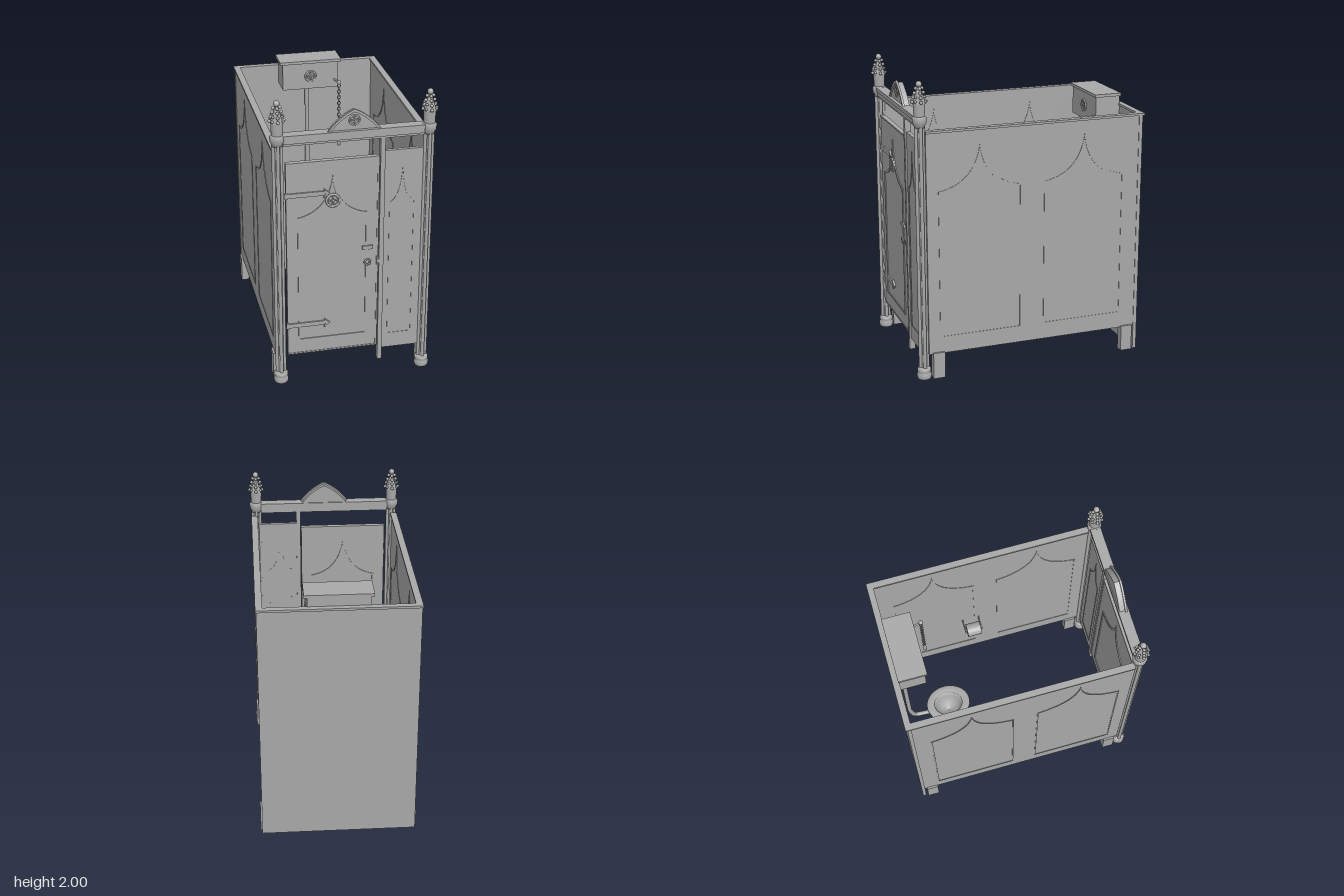
import * as THREE from 'three';

export function createModel() {
  const root = new THREE.Group();
  const stone = new THREE.MeshStandardMaterial({ color: 0xa8a8a8 });
  stone.name = 'plain grey';

  const add = (name, geo, parent = root, x = 0, y = 0, z = 0) => {
    const m = new THREE.Mesh(geo, stone);
    m.name = name;
    m.position.set(x, y, z);
    parent.add(m);
    return m;
  };
  const group = (name, x = 0, y = 0, z = 0, parent = root) => {
    const g = new THREE.Group();
    g.name = name;
    g.position.set(x, y, z);
    parent.add(g);
    return g;
  };
  // box given by its limits on each axis
  const box = (name, x0, x1, y0, y1, z0, z1, parent = root) =>
    add(name, new THREE.BoxGeometry(x1 - x0, y1 - y0, z1 - z0), parent,
      (x0 + x1) / 2, (y0 + y1) / 2, (z0 + z1) / 2);
  const lathe = (pts, seg = 32) =>
    new THREE.LatheGeometry(pts.map(p => new THREE.Vector2(p[0], p[1])), seg);
  const extrude = (shape, depth) => {
    const g = new THREE.ExtrudeGeometry(shape, { depth, bevelEnabled: false, curveSegments: 14 });
    g.translate(0, 0, -depth / 2);
    return g;
  };

  // pointed gothic outline: straight sides, concave shoulders rising to a tip
  const ogee = (path, w, y0, ys, yt) => {
    const cy = ys + (yt - ys) * 0.12, cx = w * 0.12;
    path.moveTo(-w, y0);
    path.lineTo(w, y0);
    path.lineTo(w, ys);
    path.quadraticCurveTo(cx, cy, 0, yt);
    path.quadraticCurveTo(-cx, cy, -w, ys);
    path.lineTo(-w, y0);
    return path;
  };
  const ogeeTrim = (w, y0, ys, yt, t, depth) => {
    const s = ogee(new THREE.Shape(), w, y0, ys, yt);
    s.holes.push(ogee(new THREE.Path(), w - t, y0 + t, ys - t, yt - 3.5 * t));
    return extrude(s, depth);
  };

  // four-lobed rosette facing +z
  const rosette = (name, r, x, y, z, parent = root) => {
    const g = group(name, x, y, z, parent);
    add('rosetteRing', new THREE.TorusGeometry(r * 0.87, r * 0.16, 8, 28), g);
    for (let i = 0; i < 4; i++) {
      const a = Math.PI / 4 + i * Math.PI / 2;
      add('rosetteLobe', new THREE.TorusGeometry(r * 0.32, r * 0.11, 6, 16), g,
        Math.cos(a) * r * 0.45, Math.sin(a) * r * 0.45, 0);
    }
    add('rosetteCentre', new THREE.SphereGeometry(r * 0.18, 10, 8), g);
  };

  // back and side walls with top rails and feet
  box('backWall', -0.515, 0.515, 0, 1.67, -0.785, -0.76);
  box('backRail', -0.52, 0.52, 1.665, 1.68, -0.797, -0.755);
  for (const s of [1, -1]) {
    const wall = group(s > 0 ? 'leftWall' : 'rightWall', s * 0.498);
    box('sidePanel', -0.013, 0.013, 0.17, 1.67, -0.76, 0.715, wall);
    box('sideRail', -0.022, 0.022, 1.665, 1.68, -0.757, 0.715, wall);
    for (const zc of [0.355, -0.37]) {
      const t = add('sidePanelTrim', ogeeTrim(0.282, 0.28, 1.28, 1.58, 0.008, 0.032), wall, 0, 0, zc);
      t.rotation.y = Math.PI / 2;
    }
    box('frontFoot', -0.027, 0.027, 0, 0.18, 0.61, 0.69, wall);
    box('backFoot', -0.027, 0.027, 0, 0.18, -0.745, -0.665, wall);
  }

  // front corner posts: clustered shafts, base, capital and pinnacle
  for (const s of [1, -1]) {
    const post = group(s > 0 ? 'leftPost' : 'rightPost', s * 0.483, 0, 0.744);
    add('postCore', new THREE.CylinderGeometry(0.019, 0.019, 1.68, 16), post, 0, 0.88, 0);
    for (let i = 0; i < 4; i++) {
      const a = i * Math.PI / 2;
      add('postShaft', new THREE.CylinderGeometry(0.012, 0.012, 1.68, 12), post,
        Math.cos(a) * 0.024, 0.88, Math.sin(a) * 0.024);
    }
    add('postBase', lathe([[0, 0], [0.044, 0], [0.048, 0.012], [0.048, 0.035], [0.04, 0.045],
      [0.046, 0.053], [0.046, 0.066], [0.036, 0.08], [0, 0.08]]), post);
    add('postCapital', lathe([[0, 1.69], [0.034, 1.705], [0.036, 1.72], [0.046, 1.735],
      [0.047, 1.765], [0.038, 1.777], [0, 1.78]]), post);
    add('pinnacleDrum', new THREE.CylinderGeometry(0.039, 0.036, 0.085, 24), post, 0, 1.817, 0);
    const spire = add('pinnacleSpire', new THREE.CylinderGeometry(0.012, 0.05, 0.1, 4), post, 0, 1.908, 0);
    spire.rotation.y = Math.PI / 4;
    for (let i = 0; i < 4; i++) {
      const a = i * Math.PI / 2;
      for (let k = 0; k < 4; k++) {
        const r = 0.045 - k * 0.008, y = 1.87 + k * 0.028;
        add('crocket', new THREE.SphereGeometry(0.011, 10, 8), post, Math.cos(a) * r, y, Math.sin(a) * r);
        if (k < 2) add('cornerCrocket', new THREE.SphereGeometry(0.009, 10, 8), post,
          Math.cos(a + Math.PI / 4) * (r + 0.003), y + 0.006, Math.sin(a + Math.PI / 4) * (r + 0.003));
      }
    }
    add('finialNeck', new THREE.CylinderGeometry(0.008, 0.012, 0.03, 12), post, 0, 1.962, 0);
    add('finialBall', new THREE.SphereGeometry(0.02, 16, 12), post, 0, 1.98, 0);
  }

  // moulded beam across the front
  box('beamTop', -0.45, 0.45, 1.745, 1.772, 0.705, 0.775);
  box('beamMiddle', -0.45, 0.45, 1.715, 1.745, 0.712, 0.768);
  box('beamBottom', -0.45, 0.45, 1.7, 1.715, 0.718, 0.76);

  // pointed crest on the beam
  const crest = (w, h) => {
    const s = new THREE.Shape();
    s.moveTo(-w, 0);
    s.lineTo(w, 0);
    s.quadraticCurveTo(w * 0.55, h * 0.72, 0, h);
    s.quadraticCurveTo(-w * 0.55, h * 0.72, -w, 0);
    return s;
  };
  add('crest', extrude(crest(0.155, 0.125), 0.04), root, 0, 1.772, 0.732);
  const rim = crest(0.168, 0.138);
  rim.holes.push(new THREE.Path(crest(0.148, 0.118).getPoints(14)));
  add('crestRim', extrude(rim, 0.014), root, 0, 1.772, 0.755);
  rosette('crestRosette', 0.036, 0, 1.836, 0.754);

  // mullion and narrow fixed panel
  box('mullion', 0.17, 0.2, 0.09, 1.705, 0.72, 0.76);
  box('fixedPanel', 0.2, 0.455, 0.17, 1.61, 0.725, 0.75);
  add('fixedPanelTrim', ogeeTrim(0.083, 0.275, 1.25, 1.51, 0.006, 0.031), root, 0.318, 0, 0.7375);

  // door with raised trim, hinges, latch and rosette
  const door = group('door', -0.135, 0, 0.738);
  box('doorLeaf', -0.3, 0.3, 0.2, 1.58, -0.014, 0.014, door);
  box('doorTopEdge', -0.3, 0.3, 1.57, 1.58, -0.016, 0.018, door);
  box('doorBottomEdge', -0.3, 0.3, 0.2, 0.21, -0.016, 0.018, door);
  box('doorSideEdge', 0.289, 0.3, 0.2, 1.58, -0.016, 0.018, door);
  add('doorTrim', ogeeTrim(0.228, 0.3, 1.2, 1.48, 0.012, 0.04), door);
  rosette('doorRosette', 0.048, 0, 1.305, 0.022, door);
  for (const y of [1.36, 0.42]) {
    box('hingeStrap', -0.3, -0.05, y - 0.015, y + 0.015, 0.01, 0.024, door);
    const tip = new THREE.Shape();
    tip.moveTo(-0.06, y - 0.032);
    tip.lineTo(-0.02, y);
    tip.lineTo(-0.06, y + 0.032);
    tip.lineTo(-0.05, y);
    add('hingeTip', extrude(tip, 0.016), door, 0, 0, 0.02);
    const pin = add('hingePin', new THREE.CylinderGeometry(0.01, 0.01, 0.04, 12), door, -0.3, y, 0.016);
    pin.name = 'hingePin';
  }
  box('latchBar', 0.193, 0.263, 0.932, 0.958, 0.012, 0.026, door);
  box('latchRod', 0.225, 0.232, 0.86, 0.932, 0.012, 0.02, door);
  add('handleRing', new THREE.TorusGeometry(0.019, 0.006, 8, 24), door, 0.228, 0.84, 0.024);
  add('handleKnob', new THREE.SphereGeometry(0.012, 12, 10), door, 0.228, 0.84, 0.02);
  box('latchCatch', 0.292, 0.308, 0.825, 0.855, 0, 0.026, door);

  // cistern with lid, lever and pull chain
  box('cistern', -0.2, 0.2, 1.545, 1.737, -0.76, -0.585);
  box('cisternLid', -0.22, 0.22, 1.737, 1.757, -0.762, -0.572);
  rosette('cisternRosette', 0.042, 0, 1.64, -0.582);
  const lever = new THREE.LineCurve3(new THREE.Vector3(0.17, 1.6, -0.6), new THREE.Vector3(0.193, 1.6, -0.518));
  add('flushLever', new THREE.TubeGeometry(lever, 1, 0.007, 8));
  add('leverEnd', new THREE.SphereGeometry(0.015, 12, 10), root, 0.193, 1.6, -0.518);
  for (let i = 0; i < 18; i++) {
    const link = add('chainLink', new THREE.TorusGeometry(0.011, 0.003, 5, 10), root, 0.193, 1.575 - i * 0.022, -0.518);
    link.scale.y = 1.3;
    link.rotation.y = (i % 2) * Math.PI / 2;
  }
  add('chainHandle', lathe([[0, 0], [0.013, 0.008], [0.014, 0.03], [0.007, 0.075], [0, 0.08]], 16), root, 0.193, 1.11, -0.518);

  // toilet: pedestal and open bowl in one turned profile, oval in plan
  const toilet = group('toilet', 0, 0, -0.435);
  toilet.scale.z = 1.18;
  add('pedestalBowl', lathe([[0, 0], [0.1, 0], [0.103, 0.018], [0.094, 0.06], [0.08, 0.12], [0.073, 0.18],
    [0.078, 0.23], [0.1, 0.3], [0.122, 0.36], [0.127, 0.4], [0.088, 0.4], [0.078, 0.35], [0.05, 0.28], [0, 0.26]], 40), toilet);
  add('toiletSeat', lathe([[0.086, 0.4], [0.13, 0.4], [0.135, 0.408], [0.132, 0.422], [0.094, 0.424],
    [0.085, 0.416], [0.086, 0.4]], 40), toilet);
  const pipe = new THREE.CatmullRomCurve3([[0, 1.56, -0.72], [0, 0.5, -0.72], [0, 0.36, -0.69], [0, 0.33, -0.54]]
    .map(p => new THREE.Vector3(...p)), false, 'catmullrom', 0.1);
  add('flushPipe', new THREE.TubeGeometry(pipe, 40, 0.016, 12));

  // paper roll and its holder on the left wall
  const roll = add('paperRoll', new THREE.CylinderGeometry(0.047, 0.047, 0.1, 28), root, 0.401, 0.7, -0.125);
  roll.rotation.x = Math.PI / 2;
  const rod = add('rollRod', new THREE.CylinderGeometry(0.008, 0.008, 0.12, 12), root, 0.401, 0.7, -0.125);
  rod.rotation.x = Math.PI / 2;
  for (const z of [-0.184, -0.066])
    box('rollBracket', 0.39, 0.488, 0.685, 0.715, z - 0.004, z + 0.004);

  return root;
}
